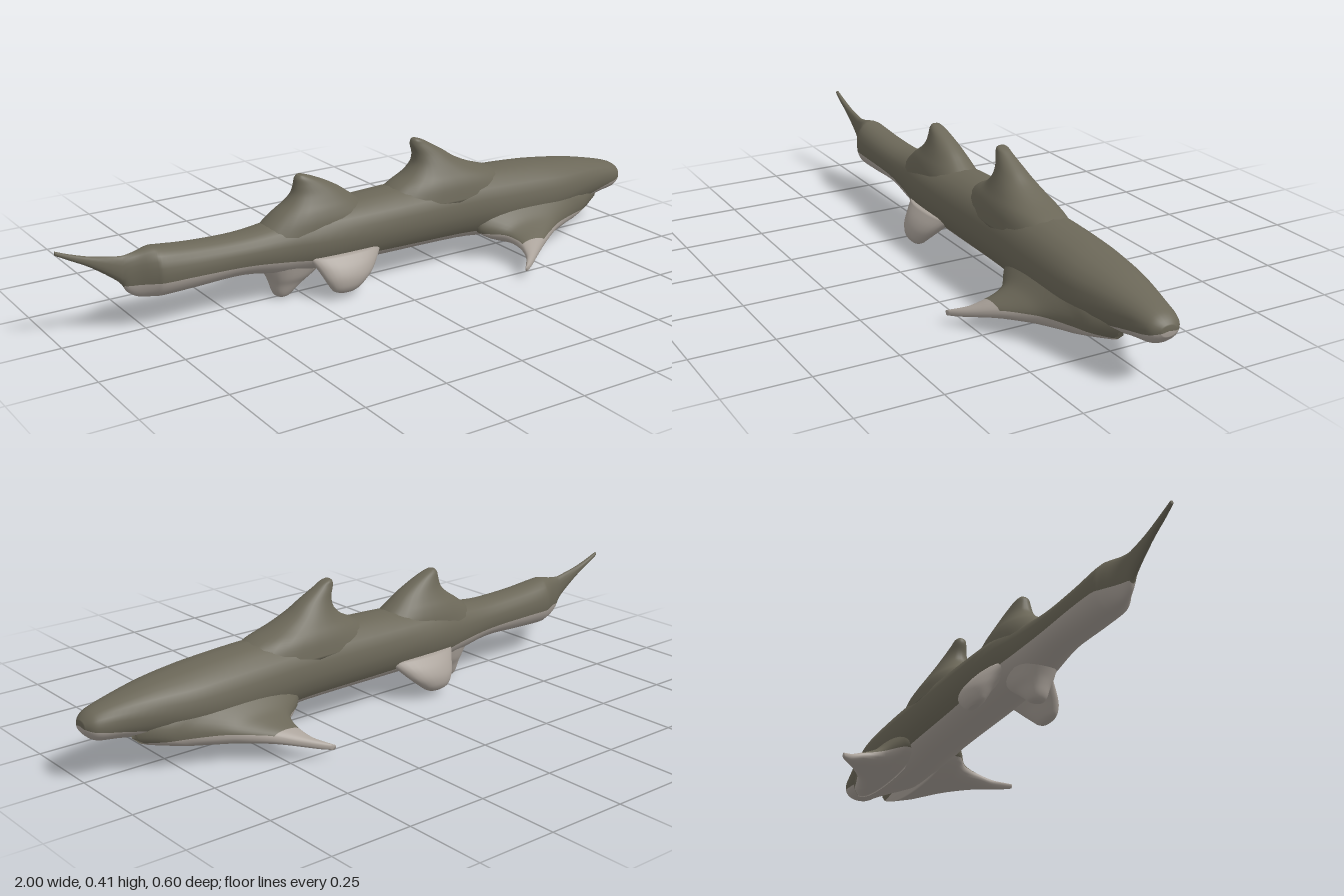
import * as THREE from 'three';

const HALF = 14; // ring segments on each side of the colour line
const STEPS = 4; // smooth steps between listed sections
const POWER = 0.92; // slightly boxy ellipse

// Catmull-Rom blend of the listed sections, component by component
function refine(rows) {
  const out = [];
  const at = (i) => rows[Math.min(Math.max(i, 0), rows.length - 1)];
  for (let i = 0; i < rows.length - 1; i++) {
    for (let s = 0; s < STEPS; s++) {
      const t = s / STEPS;
      out.push(rows[i].map((b, k) => {
        const a = at(i - 1)[k], c = at(i + 1)[k], d = at(i + 2)[k];
        return b + 0.5 * t * (c - a + t * (2 * a - 5 * b + 4 * c - d + t * (3 * (b - c) + d - a)));
      }));
    }
  }
  out.push(rows[rows.length - 1]);
  return out;
}

const spow = (v, p) => Math.sign(v) * Math.abs(v) ** p;

// Section row: [t, uMin, uMax, vMin, vMax, split v]; place maps (t, u, v) to xyz.
// pick(t, upper) gives 0 for the back colour, 1 for the belly colour.
function loft(name, rows, place, pick, materials) {
  const secs = refine(rows), pos = [], index = [[], []], R = HALF * 2;
  for (const [t, u0, u1, v0, v1, split] of secs) {
    const uc = (u0 + u1) / 2, ur = (u1 - u0) / 2, vc = (v0 + v1) / 2, vr = (v1 - v0) / 2;
    const s = THREE.MathUtils.clamp((split - vc) / vr, -0.97, 0.97);
    const a = Math.asin(spow(s, 1 / POWER));
    for (let j = 0; j < R; j++) {
      const ang = j < HALF
        ? a + (Math.PI - 2 * a) * (j / HALF)
        : Math.PI - a + (Math.PI + 2 * a) * ((j - HALF) / HALF);
      pos.push(...place(t, uc + ur * spow(Math.cos(ang), POWER), vc + vr * spow(Math.sin(ang), POWER)));
    }
  }
  // Handedness of the mapping decides the corner order
  const [T, U, V] = [[1, 0, 0], [0, 1, 0], [0, 0, 1]].map((e) => new THREE.Vector3(...place(...e)));
  const flip = U.cross(V).dot(T) * (rows[rows.length - 1][0] - rows[0][0]) < 0;
  const tri = (m, a, b, c) => index[m].push(...(flip ? [a, c, b] : [a, b, c]));

  for (let i = 0; i < secs.length - 1; i++) {
    for (let j = 0; j < R; j++) {
      const k = (j + 1) % R, a = i * R, b = a + R;
      const m = pick((secs[i][0] + secs[i + 1][0]) / 2, j < HALF);
      tri(m, a + j, a + k, b + j);
      tri(m, a + k, b + k, b + j);
    }
  }
  // End caps
  for (const i of [0, secs.length - 1]) {
    const [t, u0, u1, v0, v1] = secs[i], c = pos.length / 3;
    pos.push(...place(t, (u0 + u1) / 2, (v0 + v1) / 2));
    for (let j = 0; j < R; j++) {
      const a = i * R + j, b = i * R + (j + 1) % R, m = pick(t, j < HALF);
      if (i === 0) tri(m, c, b, a);
      else tri(m, c, a, b);
    }
  }
  const geo = new THREE.BufferGeometry();
  geo.setAttribute('position', new THREE.Float32BufferAttribute(pos, 3));
  geo.setIndex([...index[0], ...index[1]]);
  geo.addGroup(0, index[0].length, 0);
  geo.addGroup(index[0].length, index[1].length, 1);
  geo.computeVertexNormals();
  const mesh = new THREE.Mesh(geo, materials);
  mesh.name = name;
  return mesh;
}

export function createModel() {
  const group = new THREE.Group();
  group.name = 'shark';
  const back = new THREE.MeshStandardMaterial({ color: 0x6b6758 });
  back.name = 'olive grey back';
  const belly = new THREE.MeshStandardMaterial({ color: 0xaaa29a });
  belly.name = 'pale grey belly';
  const mats = [back, belly];
  const add = (name, rows, place, pick) => group.add(loft(name, rows, place, pick, mats));
  const allBack = () => 0, allBelly = () => 1;

  // Body and tail, nose to tail tip: x, bottom, top, half width, colour line
  const body = [
    [1.0, 0.148, 0.178, 0.022, 0.16], [0.985, 0.13, 0.193, 0.043, 0.155],
    [0.96, 0.116, 0.206, 0.055, 0.15], [0.9, 0.108, 0.222, 0.068, 0.14],
    [0.8, 0.09, 0.243, 0.09, 0.12], [0.7, 0.07, 0.257, 0.108, 0.1],
    [0.6, 0.052, 0.268, 0.114, 0.09], [0.45, 0.052, 0.277, 0.112, 0.09],
    [0.3, 0.066, 0.278, 0.107, 0.1], [0, 0.07, 0.27, 0.105, 0.106],
    [-0.2, 0.072, 0.258, 0.1, 0.12], [-0.32, 0.08, 0.24, 0.08, 0.132],
    [-0.45, 0.1, 0.226, 0.067, 0.142], [-0.6, 0.096, 0.23, 0.064, 0.146],
    [-0.7, 0.093, 0.24, 0.061, 0.146], [-0.73, 0.095, 0.243, 0.05, 0.145],
    [-0.77, 0.102, 0.235, 0.028, 0.144], [-0.8, 0.122, 0.231, 0.018, 0.143],
    [-0.825, 0.158, 0.232, 0.014, 0.15], [-0.9, 0.214, 0.247, 0.01, 0.2],
    [-0.96, 0.248, 0.266, 0.008, 0.24], [-1, 0.27, 0.282, 0.005, 0.26],
  ].map(([x, lo, hi, w, split]) => [x, -w, w, lo, hi, split]);
  add('body', body, (t, u, v) => [t, v, u], (x, upper) => (upper || x < -0.81 ? 0 : 1));

  // Fins on the centre line: y, rear x, front x, half width
  const upright = (rows) => rows.map(([y, xb, xf, w]) => [y, -w, w, xb, xf, (xb + xf) / 2]);
  const uprightPlace = (t, u, v) => [v, t, u];
  add('frontDorsalFin', upright([
    [0.21, -0.02, 0.57, 0.1], [0.25, 0.04, 0.51, 0.092], [0.275, 0.08, 0.46, 0.083],
    [0.3, 0.13, 0.385, 0.069], [0.33, 0.16, 0.318, 0.052], [0.36, 0.165, 0.272, 0.036],
    [0.39, 0.156, 0.22, 0.023], [0.404, 0.158, 0.195, 0.018], [0.41, 0.163, 0.178, 0.011],
  ]), uprightPlace, allBack);
  add('rearDorsalFin', upright([
    [0.19, -0.42, 0.03, 0.085], [0.23, -0.37, 0, 0.08], [0.26, -0.33, -0.04, 0.07],
    [0.285, -0.292, -0.075, 0.057], [0.31, -0.268, -0.11, 0.044], [0.335, -0.26, -0.155, 0.032],
    [0.355, -0.256, -0.2, 0.022], [0.365, -0.248, -0.228, 0.012],
  ]), uprightPlace, allBack);
  add('analFin', upright([
    [0.11, -0.38, -0.15, 0.066], [0.07, -0.358, -0.2, 0.055], [0.045, -0.348, -0.235, 0.042],
    [0.02, -0.34, -0.268, 0.032], [0.006, -0.332, -0.285, 0.024], [0, -0.322, -0.3, 0.014],
  ]), uprightPlace, allBelly);

  for (const [side, s] of [['left', -1], ['right', 1]].map(([n, v]) => [v > 0 ? 'near' : 'far', v])) {
    // Pectoral fin, root to tip: z, rear x, front x, bottom, top, colour line
    add(side + 'PectoralFin', [
      [0.05, 0.34, 0.88, 0.052, 0.2, 0.09], [0.09, 0.35, 0.8, 0.047, 0.175, 0.09],
      [0.11, 0.372, 0.735, 0.045, 0.153, 0.09], [0.14, 0.415, 0.65, 0.045, 0.123, 0.088],
      [0.17, 0.43, 0.594, 0.045, 0.104, 0.083], [0.21, 0.432, 0.53, 0.043, 0.084, 0.074],
      [0.25, 0.42, 0.468, 0.035, 0.063, 0.054], [0.28, 0.396, 0.424, 0.028, 0.049, 0.042],
      [0.298, 0.379, 0.394, 0.025, 0.04, 0.034],
    ], (t, u, v) => [u, v, s * t], (z, upper) => (upper && z < 0.212 ? 0 : 1));

    // Pelvic fin, root to tip: y, rear x, front x, inner z, outer z
    add(side + 'PelvicFin', [
      [0.13, -0.26, 0, 0.03, 0.106], [0.1, -0.24, -0.03, 0.05, 0.13],
      [0.07, -0.225, -0.06, 0.073, 0.144], [0.045, -0.212, -0.09, 0.088, 0.145],
      [0.028, -0.2, -0.112, 0.1, 0.138], [0.02, -0.18, -0.13, 0.11, 0.13],
    ].map(([y, xb, xf, z0, z1]) => [y, xb, xf, z0, z1, (z0 + z1) / 2]),
    (t, u, v) => [u, t, s * v], allBelly);
  }
  return group;
}
